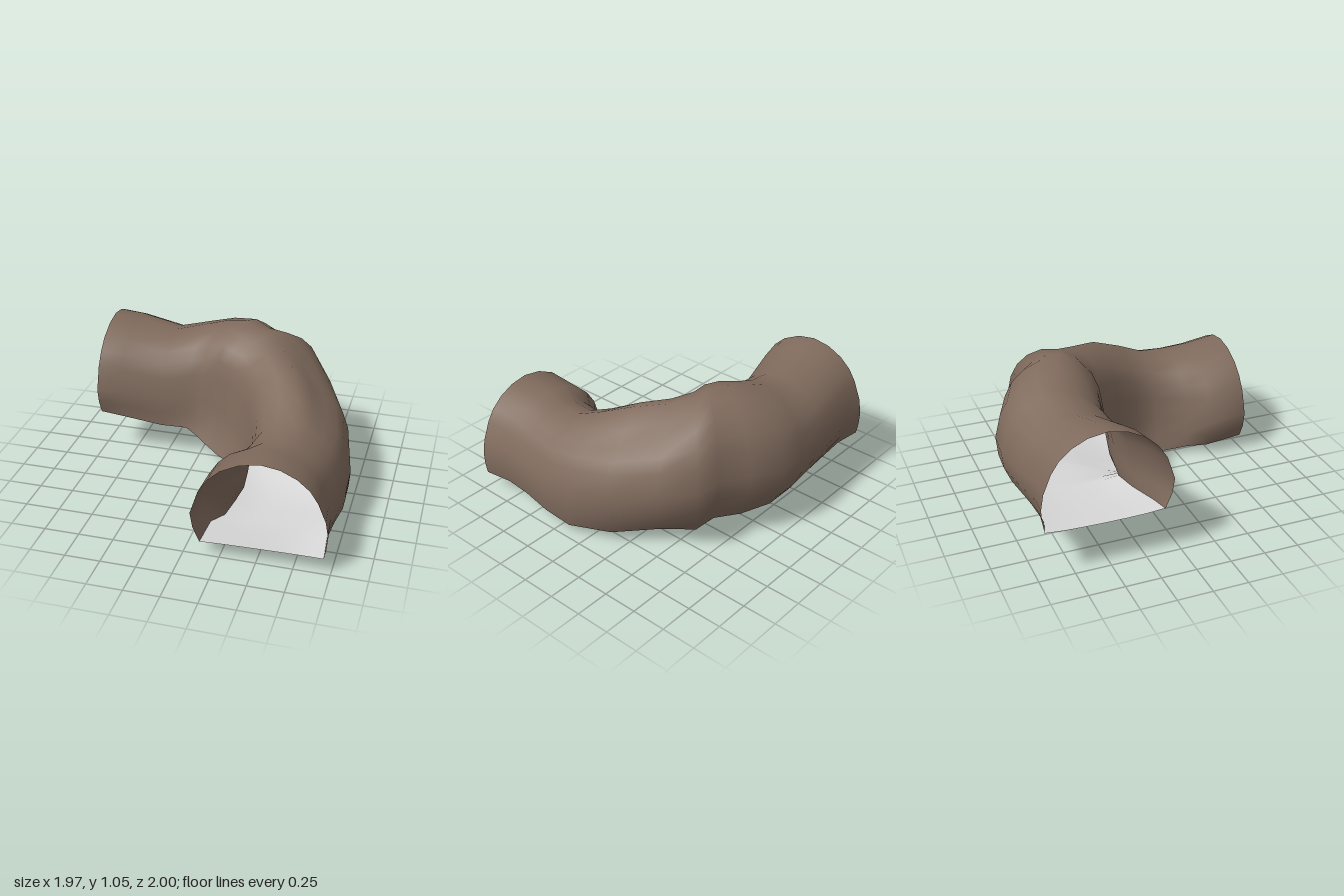
import * as THREE from 'three';

// Stations along the bend: inner foot x,y,z | outer foot x,y,z | roof height | floor height
const STATIONS = [
  [0.05, 0.11, 1.0, 0.97, 0.13, 1.0, 0.77, 0.125],
  [0.05, 0.08, 0.71, 0.95, 0.14, 0.78, 0.74, 0.07],
  [0.15, 0.06, 0.58, 0.965, 0.14, 0.58, 0.71, 0.05],
  [0.2, 0.05, 0.36, 0.985, 0.11, 0.36, 0.735, 0.03],
  [0.16, 0.05, 0.19, 0.98, 0.075, 0.14, 0.82, 0.01],
  [0.08, 0.09, 0.04, 0.91, 0.09, -0.17, 0.92, 0.03],
  [0.0, 0.11, -0.05, 0.74, 0.15, -0.5, 0.97, 0.09],
  [-0.08, 0.13, -0.09, 0.6, 0.17, -0.73, 1.02, 0.12],
  [-0.12, 0.15, -0.11, 0.4, 0.17, -0.74, 1.04, 0.14],
  [-0.16, 0.17, -0.125, 0.23, 0.18, -0.88, 1.055, 0.15],
  [-0.25, 0.22, -0.15, 0.0, 0.19, -0.985, 1.01, 0.18],
  [-0.34, 0.26, -0.17, -0.2, 0.21, -1.0, 0.96, 0.21],
  [-0.53, 0.27, -0.13, -0.5, 0.27, -0.97, 0.9, 0.25],
  [-0.82, 0.325, -0.08, -0.82, 0.33, -0.95, 0.985, 0.31],
  [-0.985, 0.35, -0.05, -0.985, 0.36, -0.96, 1.0, 0.34],
];

// Arch section from inner foot to outer foot: [across, height]
const ARCH = [
  [0.07, 0], [0.02, 0.16], [0, 0.33], [0.06, 0.59], [0.13, 0.74], [0.22, 0.86],
  [0.36, 0.96], [0.51, 1], [0.65, 0.97], [0.77, 0.89], [0.86, 0.78], [0.92, 0.65],
  [0.98, 0.44], [1, 0.27], [0.995, 0.12], [0.98, 0],
];

// Rises from a to b, holds to c, falls to d
function ramp(i, a, b, c, d) {
  return THREE.MathUtils.clamp(Math.min((i - a) / (b - a), (d - i) / (d - c)), 0, 1);
}

// Points of the arch at one station
function wallRow([ix, iy, iz, ox, oy, oz, roof], i) {
  const flare = ramp(i, 1, 3, 9, 14);         // inner wall leans over a spreading foot
  const tuck = ramp(i, 3.8, 6, 11, 14);       // outer wall overhangs its foot
  const slope = 1.2 * ramp(i, 2, 5, 5, 7);    // outer shoulder falls away
  return ARCH.map(([u, h]) => {
    const k = 1 - h;
    const shift = u < 0.5
      ? flare * (0.85 * h * k ** 2 - 0.07 * k ** 3)
      : tuck * (0.15 * h * k - 0.13 * k ** 3);
    const drop = u < 0.51 ? 0 : Math.max(0, 0.12 * Math.sin(Math.PI * (u - 0.51) / 0.47));
    const across = u + shift;
    const foot = iy + (oy - iy) * across;
    return [
      ix + (ox - ix) * across,
      foot + (roof - foot) * (h - drop * slope),
      iz + (oz - iz) * across,
    ];
  });
}

// Points of the floor, running between the two feet of the arch
function floorRow(station, i) {
  const wall = wallRow(station, i);
  const a = wall[wall.length - 1], b = wall[0];
  const sag = station[7] - (a[1] + b[1]) / 2;
  return Array.from({ length: 7 }, (_, j) => {
    const f = j / 6;
    const p = a.map((v, n) => v + (b[n] - v) * f);
    p[1] = Math.max(0, p[1] + sag * Math.sqrt(Math.max(0, Math.sin(Math.PI * f))));
    return p;
  });
}

// Skin between successive sections
function loft(rowOf) {
  const rows = STATIONS.map(rowOf);
  const w = rows[0].length;
  const index = [];
  for (let i = 0; i < rows.length - 1; i++) {
    for (let j = 0; j < w - 1; j++) {
      const a = i * w + j, b = a + 1, c = a + w, d = c + 1;
      index.push(a, b, c, b, d, c);
    }
  }
  const g = new THREE.BufferGeometry();
  g.setAttribute('position', new THREE.Float32BufferAttribute(rows.flat(2), 3));
  g.setIndex(index);
  g.computeVertexNormals();
  return g;
}

export function createModel() {
  const rock = new THREE.MeshStandardMaterial({ color: 0x806b5d, side: THREE.DoubleSide });
  rock.name = 'brown rock';
  const ground = new THREE.MeshStandardMaterial({ color: 0xdcdcdc, side: THREE.DoubleSide });
  ground.name = 'pale floor';

  const group = new THREE.Group();
  group.name = 'curvedCaveTunnel';

  // Arched rock wall and roof, open at both ends
  const wall = new THREE.Mesh(loft(wallRow), rock);
  wall.name = 'tunnelWall';

  // Gently sagging floor joining the feet of the wall
  const floor = new THREE.Mesh(loft(floorRow), ground);
  floor.name = 'tunnelFloor';

  group.add(wall, floor);
  return group;
}
